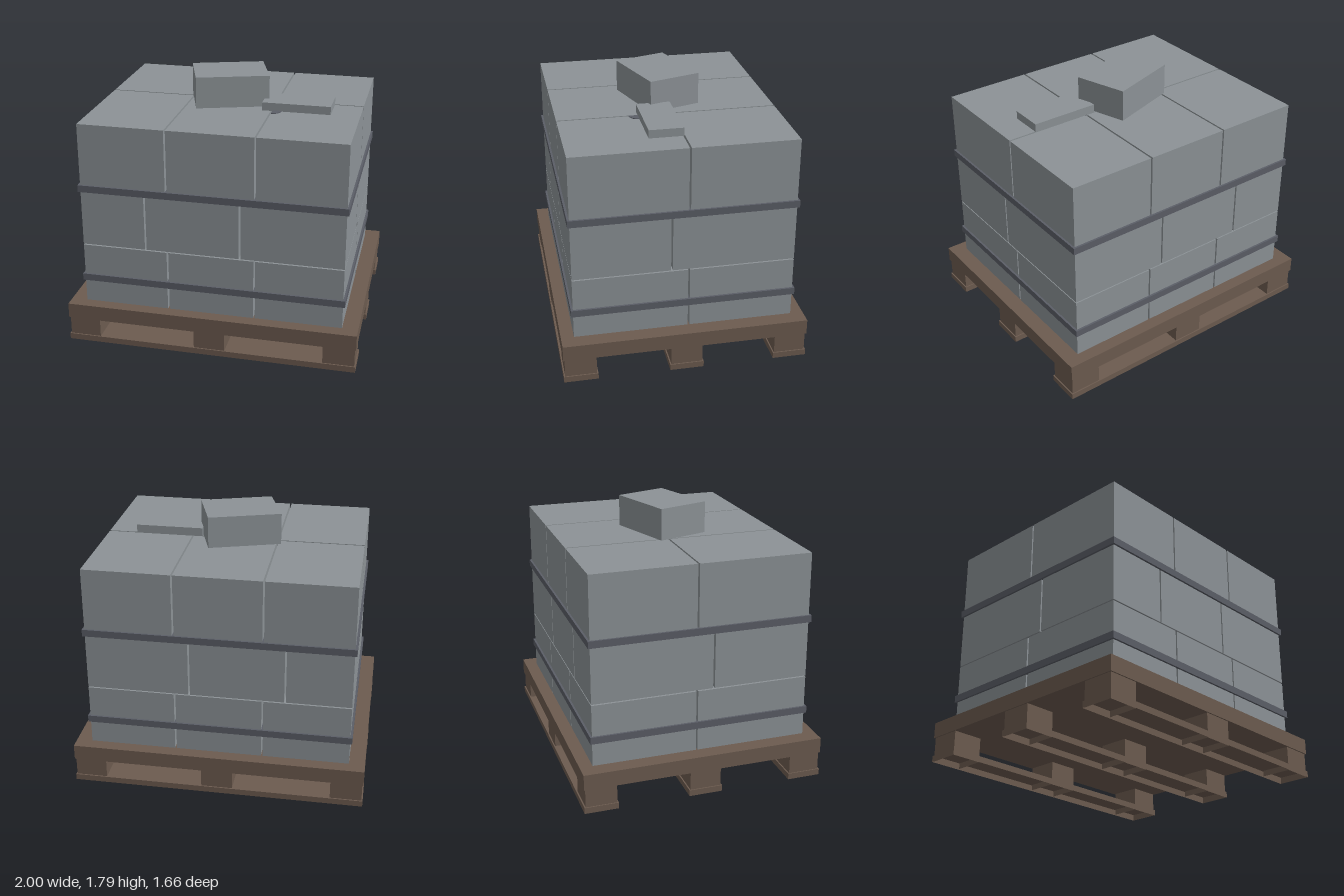
import * as THREE from 'three';

const stone = new THREE.MeshStandardMaterial({ color: 0x8c9296 });
stone.name = 'stoneGrey';
const wood = new THREE.MeshStandardMaterial({ color: 0x6c5b4f, side: THREE.DoubleSide });
wood.name = 'palletBrown';
const band = new THREE.MeshStandardMaterial({ color: 0x5b5e67 });
band.name = 'strapCharcoal';

// Box given by its limits on each axis; it can be left open underneath
function box(name, material, [x0, x1], [y0, y1], [z0, z1], open = false) {
  const geometry = new THREE.BoxGeometry(x1 - x0, y1 - y0, z1 - z0);
  if (open) {
    const index = Array.from(geometry.index.array);
    index.splice(18, 6); // underside
    geometry.setIndex(index);
    geometry.clearGroups();
  }
  const mesh = new THREE.Mesh(geometry, material);
  mesh.name = name;
  mesh.position.set((x0 + x1) / 2, (y0 + y1) / 2, (z0 + z1) / 2);
  return mesh;
}

// Splits a span at the given cuts, leaving a narrow joint at each one
function split(half, cuts, joint = 0.012) {
  const edges = [-half, ...cuts, half];
  return edges.slice(1).map((end, i) => [
    edges[i] + (i > 0 ? joint / 2 : 0),
    end - (i < cuts.length ? joint / 2 : 0),
  ]);
}

function createPallet() {
  const pallet = new THREE.Group();
  pallet.name = 'pallet';
  pallet.add(box('deck', wood, [-1, 1], [0.17, 0.277], [-0.83, 0.83]));
  for (const z of [-0.715, 0, 0.715]) {
    pallet.add(box('runner', wood, [-1, 1], [0, 0.042], [z - 0.115, z + 0.115], true));
    for (const x of [-0.885, 0, 0.885]) {
      pallet.add(box('spacerBlock', wood, [x - 0.107, x + 0.107], [0.002, 0.17], [z - 0.106, z + 0.106], true));
    }
  }
  return pallet;
}

function createStack() {
  const stack = new THREE.Group();
  stack.name = 'blockStack';
  // Three courses, the middle one with staggered joints
  const courses = [
    { y: [0.277, 0.702], x: [-0.3, 0.295], z: [-0.03] },
    { y: [0.71, 1.133], x: [-0.45, 0.195], z: [0.085] },
    { y: [1.142, 1.57], x: [-0.3, 0.295], z: [-0.03] },
  ];
  for (const course of courses) {
    for (const x of split(0.892, course.x)) {
      for (const z of split(0.743, course.z)) stack.add(box('stoneBlock', stone, x, course.y, z));
    }
  }
  return stack;
}

export function createModel() {
  const model = new THREE.Group();
  model.name = 'palletOfBlocks';
  model.add(createPallet(), createStack());

  // Straps round the stack
  for (const y of [0.462, 1.12]) {
    model.add(box('strap', band, [-0.906, 0.906], [y - 0.024, y + 0.024], [-0.757, 0.757]));
  }

  // Loose pieces on top
  const loose = box('looseBlock', stone, [-0.283, 0.217], [1.57, 1.786], [-0.177, 0.191]);
  loose.rotation.y = 0.315;
  model.add(loose, box('looseSlab', stone, [0.23, 0.695], [1.57, 1.626], [-0.03, 0.2]));

  // Small dark chip beside the slab
  const chip = new THREE.Mesh(new THREE.CylinderGeometry(0.062, 0.062, 0.005, 5, 1, false, 0, Math.PI / 2), band);
  chip.name = 'chip';
  chip.position.set(0.302, 1.5725, 0.2);
  model.add(chip);
  return model;
}
